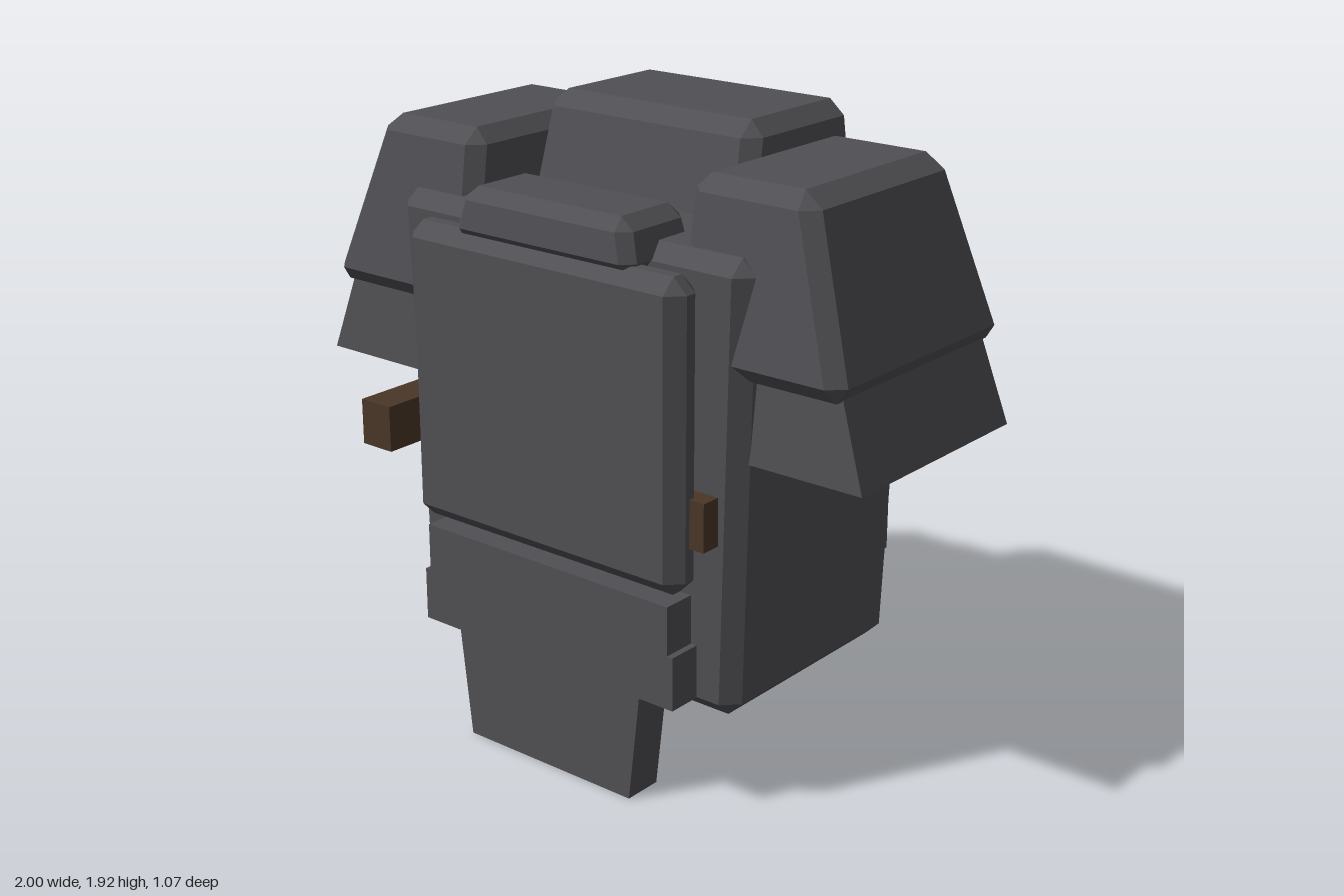
import * as THREE from 'three';
import { ConvexGeometry } from 'three/addons/geometries/ConvexGeometry.js';

// Tapered block with chamfered edges. Rectangles are [x0, x1, z0, z1] at heights y0 and y1.
function taperedBlock(y0, bottom, y1, top, c) {
  const pts = [];
  const rectAt = (y) => bottom.map((b, i) => THREE.MathUtils.lerp(b, top[i], (y - y0) / (y1 - y0)));
  const levels = c > 0
    ? [[y0, true], [y0 + c, false], [y1 - c, false], [y1, true]]
    : [[y0, true], [y1, true]];
  for (const [y, isCap] of levels) {
    const r = rectAt(y);
    for (const i of [0, 1]) {
      for (const k of [2, 3]) {
        const x = r[i], z = r[k];
        const xi = x + (i === 0 ? c : -c), zi = z + (k === 2 ? c : -c);
        if (isCap) pts.push(new THREE.Vector3(xi, y, zi));
        else pts.push(new THREE.Vector3(xi, y, z), new THREE.Vector3(x, y, zi));
      }
    }
  }
  return new ConvexGeometry(pts);
}

const mirrorX = ([x0, x1, z0, z1]) => [-x1, -x0, z0, z1];

export function createModel() {
  const model = new THREE.Group();
  model.name = 'armourVest';

  const armour = new THREE.MeshStandardMaterial({ name: 'darkGreyArmour', color: 0x505054 });
  const leather = new THREE.MeshStandardMaterial({ name: 'brownStrap', color: 0x4a3728 });
  const gold = new THREE.MeshStandardMaterial({ name: 'goldPatch', color: 0xa2852f });

  const add = (name, geometry, material = armour) => {
    const mesh = new THREE.Mesh(geometry, material);
    mesh.name = name;
    model.add(mesh);
    return mesh;
  };
  const block = (name, y0, bottom, y1, top, c) => add(name, taperedBlock(y0, bottom, y1, top, c));
  const box = (name, [x0, x1], [y0, y1], [z0, z1], material) => {
    const mesh = add(name, new THREE.BoxGeometry(x1 - x0, y1 - y0, z1 - z0), material);
    mesh.position.set((x0 + x1) / 2, (y0 + y1) / 2, (z0 + z1) / 2);
  };

  // Torso and neck guard
  block('torso', 0.30, [-0.61, 0.61, -0.375, 0.405], 1.655, [-0.65, 0.65, -0.40, 0.42], 0.047);
  block('neckGuard', 1.58, [-0.415, 0.415, -0.445, 0.125], 1.925, [-0.385, 0.385, -0.425, 0.04], 0.045);

  // Front and back plates
  block('chestPlate', 0.69, [-0.51, 0.51, 0.41, 0.535], 1.605, [-0.51, 0.51, 0.41, 0.535], 0.045);
  block('throatGuard', 1.575, [-0.34, 0.34, 0.22, 0.52], 1.73, [-0.30, 0.30, 0.235, 0.50], 0.036);
  block('backPlate', 0.49, [-0.54, 0.54, -0.51, -0.385], 1.63, [-0.54, 0.54, -0.51, -0.385], 0.045);
  box('backPatch', [-0.39, 0.39], [1.225, 1.37], [-0.537, -0.505], gold);

  // Belly pouches and hanging flap
  box('upperBellyPouch', [-0.465, 0.465], [0.51, 0.66], [0.38, 0.515]);
  box('lowerBellyPouch', [-0.485, 0.485], [0.345, 0.51], [0.38, 0.515]);
  block('groinFlap', 0, [-0.315, 0.315, 0.38, 0.505], 0.345, [-0.355, 0.355, 0.38, 0.505], 0);

  // Shoulder pads over flared sleeves, mirrored
  for (const side of ['left', 'right']) {
    const m = side === 'left' ? (r) => r : mirrorX;
    block(side + 'ShoulderPad', 1.32, m([0.375, 0.96, -0.40, 0.42]), 1.845, m([0.39, 0.785, -0.32, 0.335]), 0.045);
    block(side + 'Sleeve', 1.08, m([0.55, 1.0, -0.355, 0.37]), 1.40, m([0.55, 0.893, -0.325, 0.345]), 0);
  }

  // Straps running front to back
  box('rightStrap', [-0.78, -0.66], [0.835, 0.98], [-0.455, 0.475], leather);
  box('leftStrap', [0.44, 0.56], [0.835, 0.98], [-0.455, 0.475], leather);

  return model;
}
